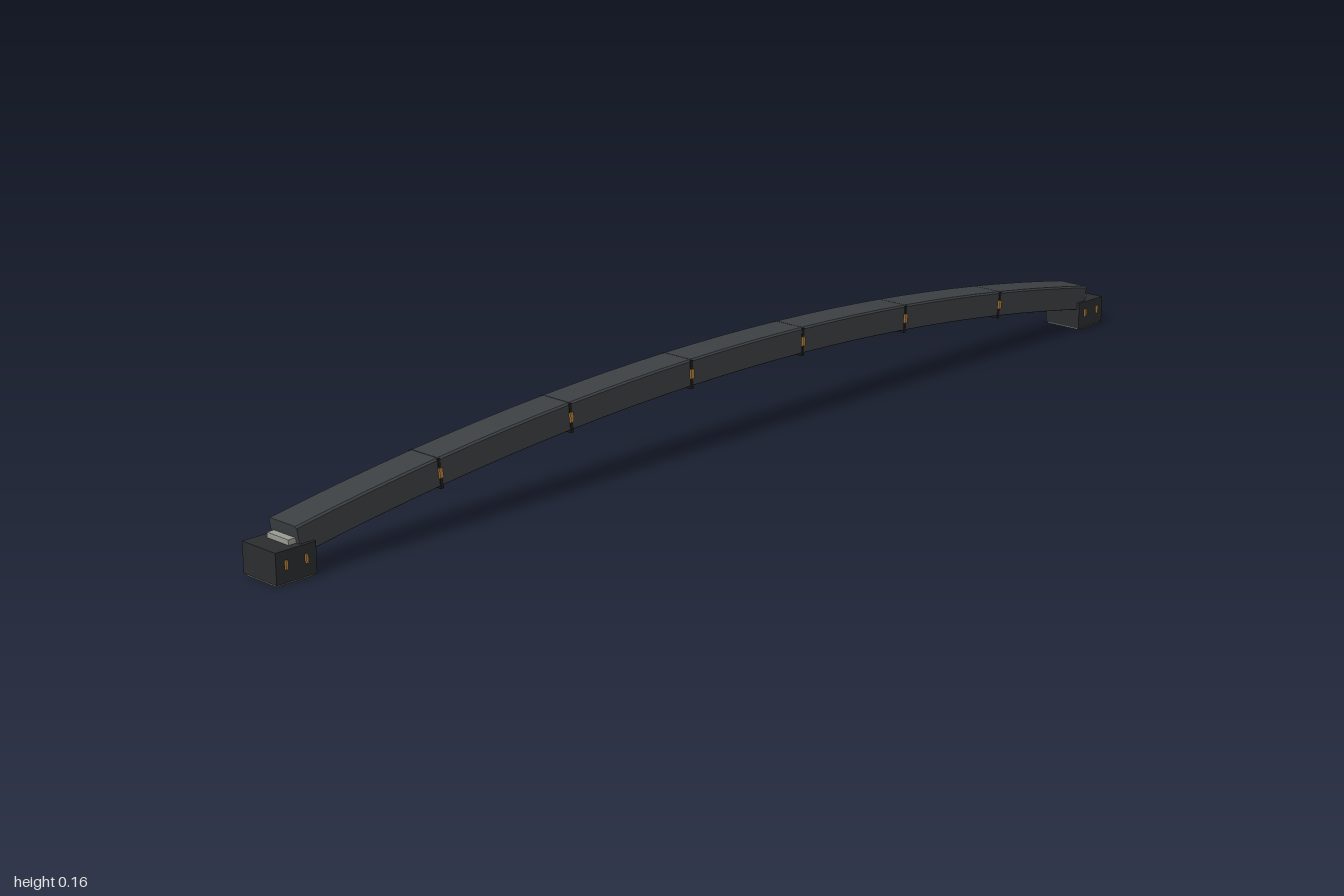
import * as THREE from 'three';

const R = 5.59;          // radius of the arched top face
const TOP = 0.163;       // crown height
const HALF = 0.172;      // half angle of the arch
const BAYS = 7;

const mat = (color) => new THREE.MeshStandardMaterial({ color, flatShading: true });

export function createModel() {
  const model = new THREE.Group();
  const steel = mat(0x3c4043), dark = mat(0x2b2c2e), black = mat(0x1c1d1e);
  const gold = mat(0xb5803a), pale = mat(0x9a9a94), sole = mat(0x6b675e);

  const add = (parent, name, geometry, material) => {
    const m = new THREE.Mesh(geometry, material);
    m.name = name;
    parent.add(m);
    return m;
  };
  const box = (parent, name, material, size, pos) => {
    const m = add(parent, name, new THREE.BoxGeometry(...size), material);
    m.position.set(...pos);
    return m;
  };

  // Sweep a (z, depth below top) outline along the arch between two angles
  const sweep = (name, points, a0, a1, steps, material) => {
    const shape = new THREE.Shape(points.map((p) => new THREE.Vector2(...p)));
    const g = new THREE.ExtrudeGeometry(shape, { depth: 1, steps, bevelEnabled: false });
    const p = g.attributes.position;
    for (let i = 0; i < p.count; i++) {
      const a = a0 + (a1 - a0) * p.getZ(i), r = R + p.getY(i);
      p.setXYZ(i, Math.sin(a) * r, TOP - R + Math.cos(a) * r, -p.getX(i));
    }
    g.computeVertexNormals();
    return add(model, name, g, material);
  };
  const rect = (w, top, bottom) => [[-w, bottom], [w, bottom], [w, top], [-w, top]];

  // Channel outline: chamfered top, open underside
  const channel = [
    [-0.0325, -0.044], [-0.02, -0.044], [-0.02, -0.034], [0.02, -0.034], [0.02, -0.044],
    [0.0325, -0.044], [0.0325, -0.003], [0.0295, 0], [-0.0295, 0], [-0.0325, -0.003],
  ];
  const bay = (2 * HALF) / BAYS, seam = 0.0001;
  for (let i = 0; i < BAYS; i++) {
    const a = -HALF + i * bay;
    sweep('beamSegment', channel, a + seam, a + bay - seam, 4, steel);
  }
  // Dark lips and the strip running in the underside recess
  for (const s of [-1, 1]) {
    const lip = [[-0.005, -0.0455], [0.005, -0.0455], [0.005, -0.043], [-0.005, -0.043]];
    sweep('bottomLip', lip.map(([z, y]) => [z + s * 0.0265, y]), -HALF, HALF, 28, black);
  }
  sweep('undersideStrip', rect(0.01, -0.032, -0.037), -HALF + 0.002, HALF - 0.002, 28, gold);

  // Joint bands between the bays, each with a small front plate
  for (let i = 1; i < BAYS; i++) {
    const a = -HALF + i * bay, w = 0.0005;
    for (const s of [-1, 1]) {
      const side = [[-0.001, -0.05], [0.001, -0.05], [0.001, -0.001], [-0.001, -0.001]];
      sweep('jointBand', side.map(([z, y]) => [z + s * 0.0325, y]), a - w, a + w, 1, black);
    }
    sweep('jointBandBottom', rect(0.0335, -0.044, -0.05), a - w, a + w, 1, black);
    const plate = [[-0.036, -0.032], [-0.032, -0.032], [-0.032, -0.016], [-0.036, -0.016]];
    sweep('jointPlate', plate, a - 0.0006, a + 0.0006, 1, gold);
  }

  // End supports
  for (const s of [-1, 1]) {
    const end = new THREE.Group();
    end.name = s > 0 ? 'leftSupport' : 'rightSupport';
    box(end, 'supportBlock', dark, [0.074, 0.05, 0.078], [s * 0.963, 0.028, -0.001]);
    box(end, 'solePlate', sole, [0.07, 0.004, 0.072], [s * 0.963, 0.002, -0.001]);
    box(end, 'bearingPad', pale, [0.036, 0.009, 0.05], [s * 0.948, 0.057, 0]);
    for (const x of [0.945, 0.982])
      box(end, 'supportPlate', gold, [0.004, 0.014, 0.006], [s * x, 0.031, 0.0385]);
    model.add(end);
  }
  return model;
}
